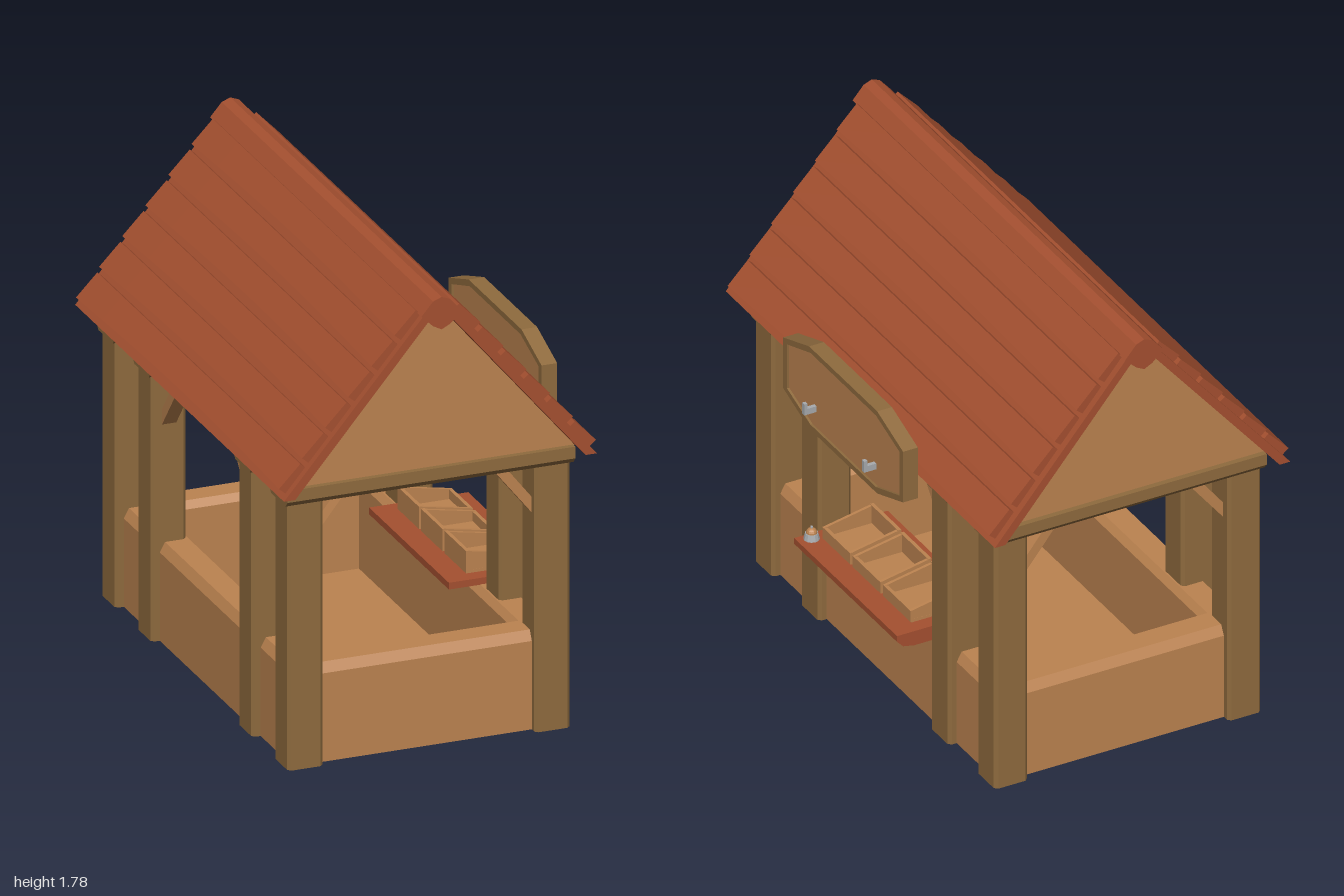
import * as THREE from 'three';

const mat = (name, color) => {
  const m = new THREE.MeshStandardMaterial({ color, side: THREE.DoubleSide, flatShading: true });
  m.name = name;
  return m;
};

export function createModel() {
  const lightWood = mat('lightWood', 0xbc8350);
  const timber = mat('timber', 0x8f6b3e);
  const redTile = mat('redTile', 0xa55030);
  const metal = mat('metal', 0xa8abae);

  const root = new THREE.Group();
  root.name = 'marketStall';
  const frame = new THREE.Group(); // stall body, symmetric about its own centre
  frame.name = 'stallBody';
  frame.position.x = -0.06;
  root.add(frame);

  const add = (parent, name, geo, material, x = 0, y = 0, z = 0) => {
    const m = new THREE.Mesh(geo, material);
    m.name = name;
    m.position.set(x, y, z);
    parent.add(m);
    return m;
  };
  const box = (parent, name, material, w, h, d, x, y, z) =>
    add(parent, name, new THREE.BoxGeometry(w, h, d), material, x, y, z);

  // x-y outline extruded along z, centred on z = 0
  const prism = (pts, depth, steps = 1, hole = null) => {
    const shape = new THREE.Shape(pts.map(p => new THREE.Vector2(...p)));
    if (hole) shape.holes.push(new THREE.Path(hole.map(p => new THREE.Vector2(...p))));
    const g = new THREE.ExtrudeGeometry(shape, { depth, steps, bevelEnabled: false });
    return g.translate(0, 0, -depth / 2);
  };

  // flat-shaded skin between closed rings of [x, y, z]
  const loft = rings => {
    const v = [];
    for (let i = 0; i < rings.length - 1; i++) {
      const n = rings[i].length;
      for (let j = 0; j < n; j++) {
        const k = (j + 1) % n;
        const a = rings[i][j], b = rings[i][k], c = rings[i + 1][k], d = rings[i + 1][j];
        v.push(...a, ...d, ...c, ...a, ...c, ...b);
      }
    }
    const g = new THREE.BufferGeometry();
    g.setAttribute('position', new THREE.Float32BufferAttribute(v, 3));
    g.computeVertexNormals();
    return g;
  };

  // Low walls and floor as one open trough
  const rect = (hx, hz, y) => [[hx, y, -hz], [hx, y, hz], [-hx, y, hz], [-hx, y, -hz]];
  add(frame, 'lowWalls', loft([
    rect(0.51, 0.85, 0), rect(0.51, 0.85, 0.34), rect(0.49, 0.83, 0.377),
    rect(0.4, 0.74, 0.377), rect(0.38, 0.72, 0.35), rect(0.38, 0.72, 0.02), rect(0, 0, 0.02),
  ]), lightWood);

  // Posts with chamfered corners
  const oct = (h, c, y) => [
    [h, y, -h + c], [h, y, h - c], [h - c, y, h], [-h + c, y, h],
    [-h, y, h - c], [-h, y, -h + c], [-h + c, y, -h], [h - c, y, -h],
  ];
  const postGeo = loft([oct(0.0675, 0.012, 0), oct(0.0675, 0.012, 1.03)]);
  const PX = 0.474, CORNER = 0.817, MID = 0.477;
  for (const x of [-PX, PX])
    for (const z of [-CORNER, -MID, MID, CORNER]) add(frame, 'post', postGeo, timber, x, 0, z);

  // Cross beams with chamfered lower edges
  const beamGeo = prism([[-0.085, 1.085], [-0.085, 1.04], [-0.068, 1.02],
    [0.068, 1.02], [0.085, 1.04], [0.085, 1.085]], 1.105).rotateY(Math.PI / 2);
  for (const z of [-CORNER, -MID, MID, CORNER]) add(frame, 'crossBeam', beamGeo, timber, 0, 0, z);

  // Side beams between the middle posts
  for (const x of [-PX, PX]) box(frame, 'sideBeam', timber, 0.13, 0.06, 0.8, x, 1.053, 0);

  // Diagonal braces, leaning inward from each post face
  const brace = (parent, s) =>
    add(parent, 'brace', prism([[s * 0.41, 0.83], [s * 0.41, 0.89],
      [s * 0.3, 1.03], [s * 0.25, 1.03]], 0.055), lightWood);
  for (const s of [-1, 1]) {
    for (const z of [-CORNER, CORNER]) brace(frame, s).position.z = z;
    for (const x of [-PX, PX]) {
      const b = brace(frame, s);
      b.rotation.y = Math.PI / 2;
      b.position.x = x;
    }
  }

  // Gable block
  add(frame, 'gable', prism([[-0.56, 1.083], [0.56, 1.083], [0, 1.743]], 1.76), lightWood);

  // Roof slopes with overlapping, slightly bowed tile rows
  const onRoof = (s, t, h) => [s * (0.6 - 0.647 * t + 0.762 * h), 1.085 + 0.762 * t + 0.647 * h];
  for (const s of [-1, 1]) {
    add(frame, 'roofSlope', prism([[s * 0.557, 1.085], [s * 0.6, 1.085],
      [s * 0.02, 1.768], [0, 1.745]], 1.975), redTile);
    for (let i = 0; i < 6; i++) {
      const t0 = 0.025 + i * 0.137, t1 = t0 + 0.117;
      const g = prism([onRoof(s, t0, -0.005), onRoof(s, t1, -0.005),
        onRoof(s, t1, 0.024), onRoof(s, t0, 0.032)], 1.92, 8);
      const p = g.attributes.position;
      const middle = onRoof(s, (t0 + t1) / 2, 0.012)[1];
      for (let k = 0; k < p.count; k++) {
        if (p.getY(k) > middle) continue;
        const lift = 0.016 * Math.cos(p.getZ(k) * Math.PI / 1.92);
        p.setXY(k, p.getX(k) - s * 0.647 * lift, p.getY(k) + 0.762 * lift);
      }
      g.computeVertexNormals();
      add(frame, 'tileRow', g, redTile);
    }
  }
  add(frame, 'ridgeCap', prism([[-0.078, 1.72], [-0.033, 1.677], [0, 1.66], [0.033, 1.677],
    [0.078, 1.72], [0.033, 1.772], [0, 1.785], [-0.033, 1.772]], 2), redTile);

  // Hanging board: timber rim around a light panel, facing +x
  const board = (hw, hh, cx, cy) => [[cx, hh], [-cx, hh], [-hw, cy], [-hw, -cy],
    [-cx, -hh], [cx, -hh], [hw, -cy], [hw, cy]];
  const sign = new THREE.Group();
  sign.name = 'signBoard';
  sign.position.set(0.58, 1.105, 0);
  sign.rotation.y = Math.PI / 2;
  root.add(sign);
  const inner = board(0.412, 0.15, 0.24, 0.092);
  add(sign, 'signRim', prism(board(0.44, 0.172, 0.25, 0.106), 0.06, 1, inner), timber);
  add(sign, 'signPanel', prism(inner, 0.042), lightWood);
  for (const s of [-1, 1]) {
    box(sign, 'hookArm', metal, 0.016, 0.024, 0.055, s * 0.22, -0.073, 0.042);
    box(sign, 'hookTip', metal, 0.016, 0.046, 0.013, s * 0.22, -0.062, 0.064);
  }

  // Serving shelf
  add(root, 'shelf', prism([[0.22, 0.402], [0.6, 0.402], [0.6, 0.378], [0.575, 0.352],
    [0.53, 0.343], [0.44, 0.343], [0.44, 0.376], [0.22, 0.376]], 0.755), redTile);

  // Three open trays with sloping sides
  for (const z of [-0.222, 0, 0.222]) {
    const tray = new THREE.Group();
    tray.name = 'tray';
    tray.position.z = z;
    root.add(tray);
    box(tray, 'trayBase', lightWood, 0.205, 0.012, 0.205, 0.41, 0.41, 0);
    box(tray, 'trayBack', lightWood, 0.014, 0.084, 0.205, 0.314, 0.448, 0);
    box(tray, 'trayFront', lightWood, 0.014, 0.046, 0.205, 0.508, 0.429, 0);
    for (const s of [-1, 1])
      add(tray, 'traySide', prism([[0.308, 0.406], [0.514, 0.406], [0.514, 0.452],
        [0.308, 0.49]], 0.012), lightWood, 0, 0, s * 0.096);
  }

  // Counter bell
  add(root, 'bellBase', new THREE.CylinderGeometry(0.024, 0.03, 0.026, 12), metal, 0.547, 0.414, 0.345);
  add(root, 'bellDome', new THREE.SphereGeometry(0.021, 12, 5, 0, Math.PI * 2, 0, Math.PI / 2),
    lightWood, 0.547, 0.426, 0.345);
  add(root, 'bellKnob', new THREE.CylinderGeometry(0.005, 0.005, 0.008, 8), metal, 0.547, 0.449, 0.345);

  return root;
}
